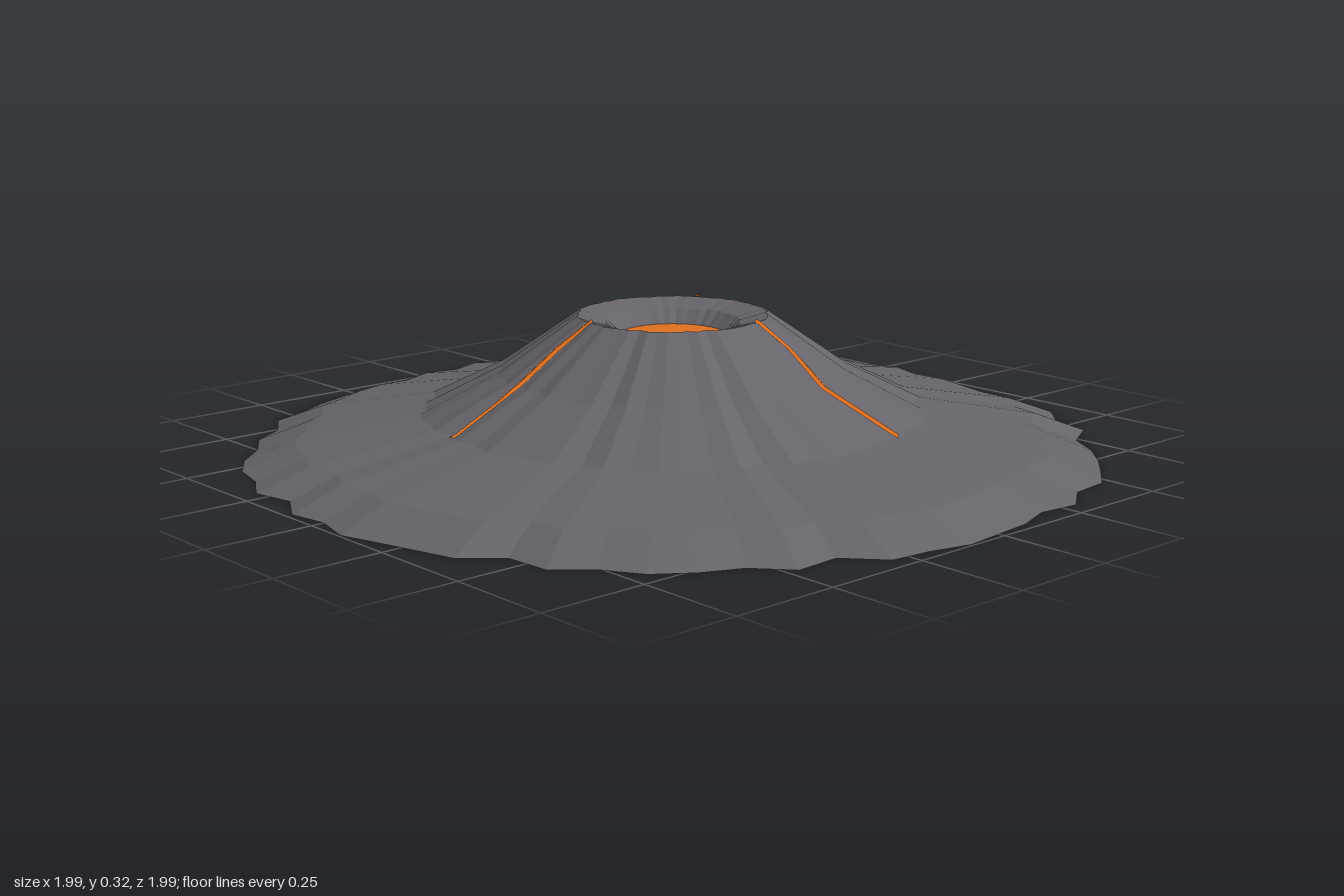
import * as THREE from 'three';

// Radial scale of each flute, clockwise from the back (-z), in thousandths
const flutes = [
  965, 977, 970, 970, 1003, 970, 1003, 957, 975, 983, 990, 1003, 970, 998, 962, 980,
  985, 1000, 990, 1003, 950, 1002, 970, 990, 1000, 980, 1000, 951, 993, 985, 987, 1000,
  970, 990, 952, 996, 977, 996, 990, 968, 983, 964, 1000, 982, 988, 982, 957, 985,
  960, 1003, 980, 986, 978, 953, 990, 961, 1003, 980, 984, 972, 963, 998, 974, 1000,
].map((v) => v / 1000);
const SIDES = flutes.length;

// Profile from the base, over the rim and down to the crater floor: [radius, height]
const slope = [[1, 0], [0.88, 0.045], [0.592, 0.095], [0.412, 0.185], [0.225, 0.315]];
const crater = [[0.225, 0.315], [0.16, 0.297], [0.122, 0.26], [0, 0.26]];

// Fluted surface of revolution through a profile
function flutedSurface(profile) {
  const positions = [];
  const index = [];
  profile.forEach(([r, y], i) => {
    for (let k = 0; k < SIDES; k++) {
      const a = (k / SIDES) * Math.PI * 2;
      positions.push(Math.sin(a) * r * flutes[k], y, -Math.cos(a) * r * flutes[k]);
      if (i === profile.length - 1) continue;
      const p = i * SIDES + k;
      const q = i * SIDES + ((k + 1) % SIDES);
      index.push(p, p + SIDES, q);
      if (profile[i + 1][0] > 0) index.push(q, p + SIDES, q + SIDES);
    }
  });
  const geometry = new THREE.BufferGeometry();
  geometry.setAttribute('position', new THREE.Float32BufferAttribute(positions, 3));
  geometry.setIndex(index);
  geometry.computeVertexNormals();
  return geometry;
}

// Height of the outer slope at a point on the ground plan
function slopeHeight(x, z) {
  const t = ((Math.atan2(x, -z) / (Math.PI * 2) + 1) % 1) * SIDES;
  const k = Math.floor(t) % SIDES;
  const scale = THREE.MathUtils.lerp(flutes[k], flutes[(k + 1) % SIDES], t - Math.floor(t));
  const r = Math.hypot(x, z) / scale;
  for (let i = 0; i < slope.length - 1; i++) {
    const [r0, y0] = slope[i];
    const [r1, y1] = slope[i + 1];
    if (r >= r1) return y0 + ((r0 - r) / (r0 - r1)) * (y1 - y0);
  }
  return 0.315;
}

// Narrow ribbon draped over the slope along a ground-plan polyline
function lavaRibbon(points) {
  const path = new THREE.CurvePath();
  const v = points.map(([x, z]) => new THREE.Vector2(x, z));
  for (let i = 0; i < v.length - 1; i++) path.add(new THREE.LineCurve(v[i], v[i + 1]));
  const steps = 36;
  const half = 0.008;
  const positions = [];
  const index = [];
  for (let i = 0; i <= steps; i++) {
    const p = path.getPointAt(i / steps);
    const t = path.getTangentAt(i / steps);
    for (const s of [-half, 0, half]) {
      const x = p.x - t.y * s;
      const z = p.y + t.x * s;
      positions.push(x, slopeHeight(x, z) + (s === 0 ? 0.008 : 0.003), z);
    }
    if (i === steps) continue;
    for (const a of [i * 3, i * 3 + 1]) index.push(a, a + 1, a + 3, a + 1, a + 4, a + 3);
  }
  const geometry = new THREE.BufferGeometry();
  geometry.setAttribute('position', new THREE.Float32BufferAttribute(positions, 3));
  geometry.setIndex(index);
  geometry.computeVertexNormals();
  return geometry;
}

export function createModel() {
  const rock = new THREE.MeshStandardMaterial({
    name: 'rock', color: 0x66646a, flatShading: true, side: THREE.DoubleSide,
  });
  const lava = new THREE.MeshStandardMaterial({
    name: 'lava', color: 0xe0701f, flatShading: true, side: THREE.DoubleSide,
  });

  const model = new THREE.Group();
  model.name = 'volcano';
  const add = (name, geometry, material) => {
    const mesh = new THREE.Mesh(geometry, material);
    mesh.name = name;
    model.add(mesh);
    return mesh;
  };

  // Open-bottomed cone and the bowl at its top
  add('outerSlope', flutedSurface(slope), rock);
  add('crater', flutedSurface(crater), rock);

  // Lava pool lying in the crater
  const pool = add('lavaPool', new THREE.CircleGeometry(0.122, 48), lava);
  pool.rotation.x = -Math.PI / 2;
  pool.position.y = 0.266;

  // Lava streams running down from the rim
  const streams = {
    backRightStream: [[-0.115, -0.185], [-0.148, -0.265], [-0.182, -0.355], [-0.305, -0.49]],
    leftStream: [[0.21, -0.065], [0.285, -0.094], [0.39, -0.1], [0.565, -0.16]],
    frontStream: [[-0.04, 0.212], [-0.068, 0.29], [-0.087, 0.395], [-0.09, 0.575]],
  };
  for (const [name, points] of Object.entries(streams)) add(name, lavaRibbon(points), lava);

  return model;
}
